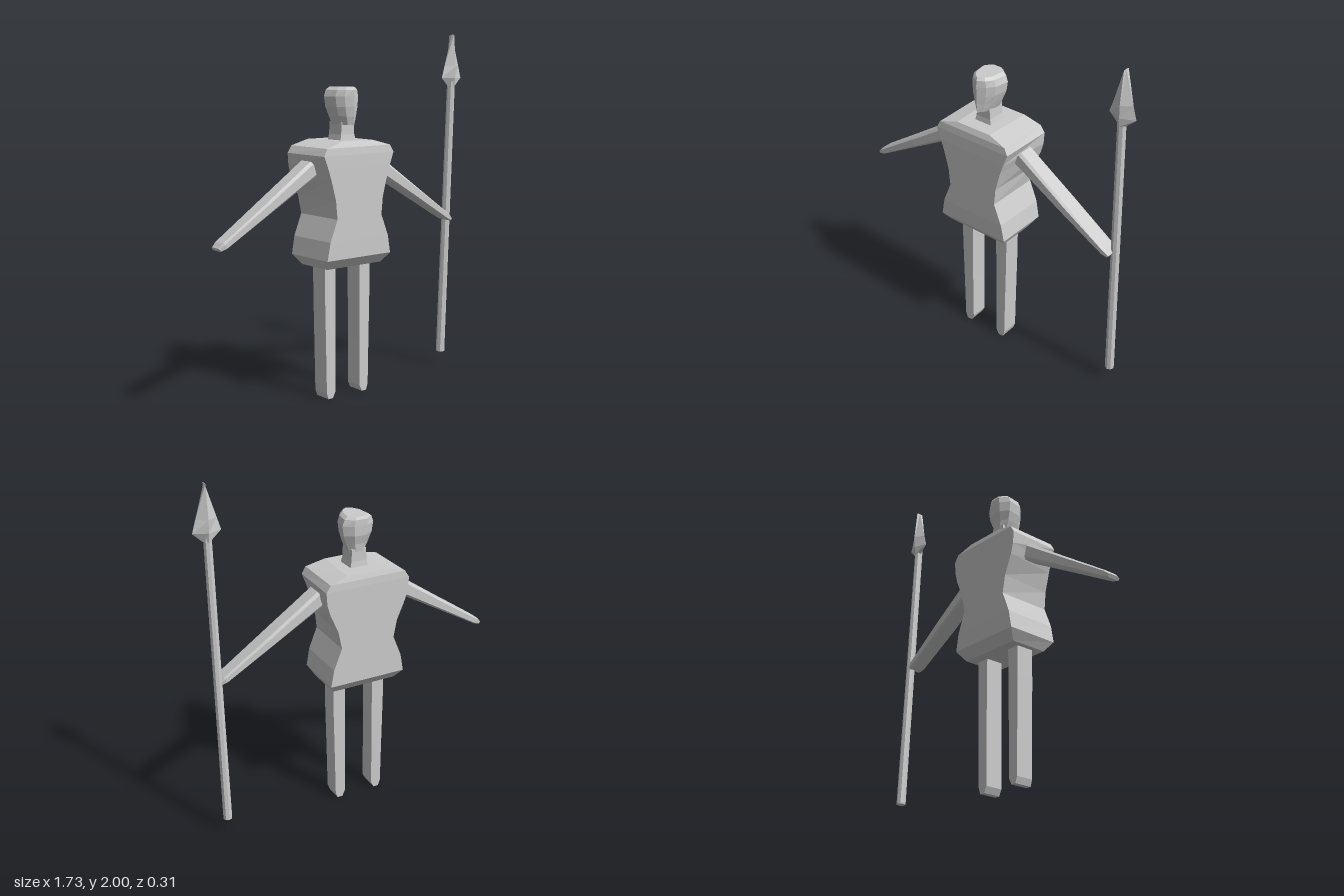
import * as THREE from 'three';

const material = new THREE.MeshStandardMaterial({ color: 0xcccccc, flatShading: true, side: THREE.DoubleSide });

// Closed faceted skin through stacked rings of [x, y, z], each counter-clockwise seen from the last ring's end
function loft(name, rings) {
  const n = rings[0].length;
  const pos = [];
  const tri = (a, b, c) => pos.push(...a, ...b, ...c);
  const middle = (ring) => [0, 1, 2].map((k) => ring.reduce((sum, p) => sum + p[k], 0) / n);
  for (let i = 0; i < rings.length - 1; i++) {
    for (let j = 0; j < n; j++) {
      const k = (j + 1) % n;
      const [a, b, c, d] = [rings[i][j], rings[i][k], rings[i + 1][k], rings[i + 1][j]];
      tri(a, b, c);
      tri(a, c, d);
    }
  }
  const first = rings[0], last = rings[rings.length - 1];
  const low = middle(first), high = middle(last);
  for (let j = 0; j < n; j++) {
    const k = (j + 1) % n;
    tri(low, first[k], first[j]);
    tri(high, last[j], last[k]);
  }
  const geometry = new THREE.BufferGeometry();
  geometry.setAttribute('position', new THREE.Float32BufferAttribute(pos, 3));
  geometry.computeVertexNormals();
  const mesh = new THREE.Mesh(geometry, material);
  mesh.name = name;
  return mesh;
}

// Four-cornered ring, with its own half widths at the front and back
const slab = (y, front, back, zFront, zBack) => [
  [front, y, zFront], [back, y, zBack], [-back, y, zBack], [-front, y, zFront],
];

// Rectangular ring with chamfered corners
const chamfered = (y, w, d, cx = 0.65, cz = 0.75) => [
  [w, y, d * cz], [w, y, -d * cz], [w * cx, y, -d], [-w * cx, y, -d],
  [-w, y, -d * cz], [-w, y, d * cz], [-w * cx, y, d], [w * cx, y, d],
];

function makeTorso() {
  return loft('torso', [
    slab(0.745, 0.19, 0.19, 0.11, -0.11),
    slab(0.8, 0.222, 0.226, 0.155, -0.155),
    slab(0.9, 0.203, 0.208, 0.157, -0.156),
    slab(1.02, 0.155, 0.16, 0.157, -0.156),
    slab(1.12, 0.165, 0.18, 0.157, -0.156),
    slab(1.23, 0.195, 0.228, 0.157, -0.156),
    slab(1.29, 0.215, 0.245, 0.157, -0.156),
    slab(1.36, 0.242, 0.25, 0.156, -0.156),
    slab(1.4, 0.22, 0.225, 0.152, -0.154),
    slab(1.43, 0.11, 0.12, 0.138, -0.146),
  ]);
}

// Ring of the head, with a ridge down the middle of the face
const headRing = (y, w, front, back) => {
  const half = [[0.42, back], [1, back * 0.5], [0.85, front * 0.42], [0.5, front * 0.78]];
  const right = half.map(([x, z]) => [-x * w, y, z]);
  const left = half.map(([x, z]) => [x * w, y, z]).reverse();
  return [[0, y, front], ...left, ...right];
};

function makeHead() {
  return loft('head', [
    headRing(1.512, 0.046, 0.105, -0.05),
    headRing(1.56, 0.066, 0.108, -0.056),
    headRing(1.61, 0.084, 0.11, -0.07),
    headRing(1.665, 0.092, 0.11, -0.073),
    headRing(1.7, 0.08, 0.109, -0.073),
    headRing(1.715, 0.06, 0.1, -0.066),
  ]);
}

function makeNeck() {
  return loft('neck', [
    slab(1.41, 0.058, 0.058, 0.06, -0.056),
    slab(1.46, 0.046, 0.046, 0.054, -0.05),
    slab(1.53, 0.042, 0.042, 0.054, -0.05),
  ]);
}

// Leg with a straight inner side and a tapering outer side
function makeLeg(side) {
  const ring = ([y, inner, outer]) => {
    const right = Math.min(side * inner, side * outer);
    const left = Math.max(side * inner, side * outer);
    return [[left, y, 0.053], [left, y, -0.051], [right, y, -0.051], [right, y, 0.053]];
  };
  const rows = [[0, 0.105, 0.136], [0.035, 0.088, 0.148], [0.3, 0.088, 0.153], [0.58, 0.087, 0.159], [0.77, 0.085, 0.16]];
  return loft(side > 0 ? 'leftLeg' : 'rightLeg', rows.map(ring));
}

// Flattened arm reaching out and down, blunt at the hand
function makeArm(side) {
  const arm = loft(side > 0 ? 'leftArm' : 'rightArm', [
    chamfered(0, 0.046, 0.054),
    chamfered(0.1, 0.041, 0.054),
    chamfered(0.36, 0.03, 0.054),
    chamfered(0.67, 0.019, 0.047),
    chamfered(0.705, 0.01, 0.038),
  ]);
  arm.position.set(side * 0.22, 1.288, 0);
  arm.rotation.z = -Math.atan2(side * 0.59, -0.37);
  return arm;
}

function makeSpear() {
  const spear = new THREE.Group();
  spear.name = 'spear';

  // Shaft leaning slightly back towards its foot
  const bottom = new THREE.Vector3(0.78, 0.085, -0.052);
  const top = new THREE.Vector3(0.78, 1.73, 0.01);
  const shaft = new THREE.Mesh(new THREE.CylinderGeometry(0.023, 0.026, bottom.distanceTo(top), 8), material);
  shaft.name = 'spearShaft';
  shaft.position.copy(bottom).lerp(top, 0.5);
  shaft.quaternion.setFromUnitVectors(new THREE.Vector3(0, 1, 0), top.clone().sub(bottom).normalize());

  // Diamond-section blade
  const diamond = (y, w, d) => [[w, y, 0], [0, y, -d], [-w, y, 0], [0, y, d]];
  const blade = loft('spearHead', [
    diamond(1.7, 0.024, 0.026),
    diamond(1.75, 0.077, 0.032),
    diamond(1.82, 0.056, 0.036),
    diamond(2, 0.002, 0.02),
  ]);
  blade.position.set(0.782, 0, 0.009);
  spear.add(shaft, blade);
  return spear;
}

export function createModel() {
  const model = new THREE.Group();
  model.name = 'spearBearer';
  const body = new THREE.Group();
  body.name = 'body';
  body.position.x = -0.045;
  body.add(makeTorso(), makeNeck(), makeHead());
  for (const side of [-1, 1]) body.add(makeLeg(side), makeArm(side));
  model.add(body, makeSpear());
  return model;
}
